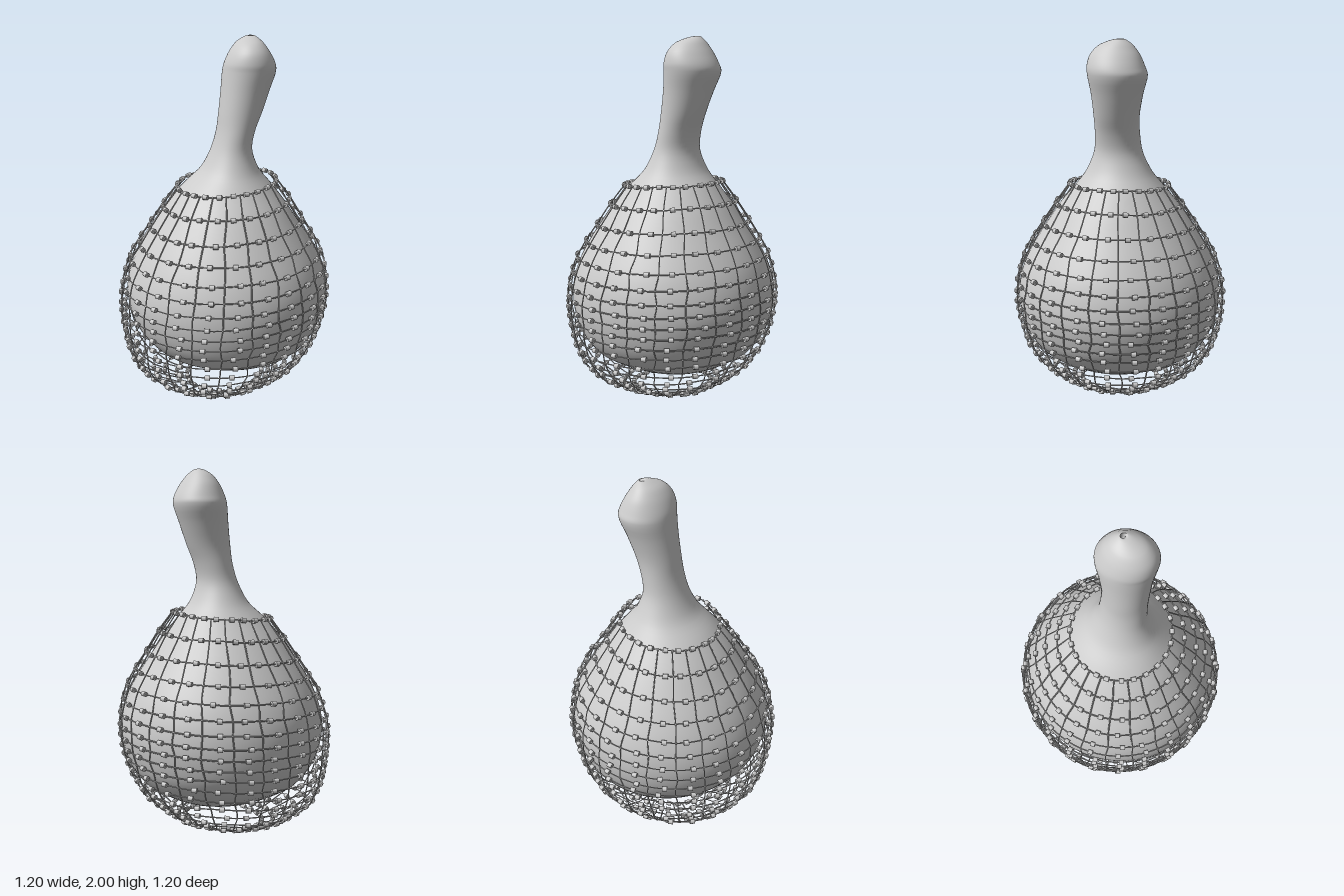
import * as THREE from 'three';
import { mergeGeometries } from 'three/addons/utils/BufferGeometryUtils.js';

const V = (x, y, z) => new THREE.Vector3(x, y, z);
const TAU = Math.PI * 2;

// Small seeded generator, returns -1..1
function makeNoise(seed) {
  return () => {
    seed = (seed * 16807) % 2147483647;
    return (seed / 2147483647) * 2 - 1;
  };
}

// Gourd cross-sections, bottom to top: y, centre x, centre z, radius x, radius z
const SECTIONS = [
  [0.165, 0.03, 0, 0, 0], [0.168, 0.03, 0, 0.13, 0.13], [0.2, 0.03, 0, 0.27, 0.27],
  [0.3, 0.02, 0, 0.445, 0.46], [0.4, 0.015, 0, 0.52, 0.53], [0.5, 0.012, 0, 0.555, 0.56],
  [0.6, 0.012, 0, 0.568, 0.568], [0.7, 0.012, 0, 0.553, 0.556], [0.8, 0.012, 0, 0.517, 0.52],
  [0.9, 0.01, 0, 0.462, 0.465], [1.0, 0.01, 0, 0.395, 0.402], [1.1, 0.012, 0, 0.327, 0.332],
  [1.2, 0.018, -0.003, 0.245, 0.25], [1.29, 0.03, -0.004, 0.16, 0.182], [1.4, 0.04, -0.003, 0.112, 0.133],
  [1.5, 0.063, -0.004, 0.105, 0.122], [1.6, 0.09, -0.007, 0.118, 0.122], [1.72, 0.12, -0.018, 0.132, 0.137],
  [1.82, 0.143, -0.026, 0.143, 0.157], [1.86, 0.143, -0.018, 0.135, 0.152], [1.92, 0.14, -0.013, 0.105, 0.13],
  [1.97, 0.142, -0.02, 0.066, 0.085], [1.998, 0.155, -0.045, 0.018, 0.02], [1.99, 0.16, -0.053, 0.012, 0.012],
  [1.95, 0.16, -0.053, 0.01, 0.01], [1.945, 0.16, -0.053, 0, 0],
];

// Hollow-looking gourd skin lofted through the elliptical sections
function gourdGeometry(rings = 100, sides = 56) {
  const centre = new THREE.CatmullRomCurve3(SECTIONS.map(s => V(s[1], s[0], s[2])));
  const radius = new THREE.CatmullRomCurve3(SECTIONS.map(s => V(s[3], s[0], s[4])));
  const pos = [], index = [];
  for (let i = 0; i <= rings; i++) {
    const c = centre.getPoint(i / rings), r = radius.getPoint(i / rings);
    for (let j = 0; j < sides; j++) {
      const a = (j / sides) * TAU;
      pos.push(c.x + Math.max(r.x, 0) * Math.cos(a), c.y, c.z + Math.max(r.z, 0) * Math.sin(a));
    }
  }
  for (let i = 0; i < rings; i++) {
    for (let j = 0; j < sides; j++) {
      const a = i * sides + j, b = i * sides + ((j + 1) % sides);
      index.push(a, a + sides, b, b, a + sides, b + sides);
    }
  }
  const g = new THREE.BufferGeometry();
  g.setAttribute('position', new THREE.Float32BufferAttribute(pos, 3));
  g.setIndex(index);
  g.computeVertexNormals();
  return g;
}

// Net rows, top to bottom: radius, y, centre x
const ROWS = [
  [0.272, 1.215, 0.012], [0.35, 1.11, 0.01], [0.423, 1.0, 0.008], [0.485, 0.905, 0.006],
  [0.534, 0.82, 0.004], [0.562, 0.742, 0.002], [0.58, 0.67, 0], [0.588, 0.605, -0.002],
  [0.588, 0.545, -0.004], [0.584, 0.488, -0.007], [0.575, 0.43, -0.011], [0.562, 0.372, -0.016],
  [0.545, 0.315, -0.022], [0.52, 0.258, -0.028], [0.485, 0.203, -0.034], [0.44, 0.152, -0.036],
  [0.385, 0.11, -0.033], [0.325, 0.075, -0.025], [0.27, 0.05, -0.012], [0.22, 0.038, 0],
];
const COLUMNS = 24;

export function createModel() {
  const model = new THREE.Group();
  const noise = makeNoise(4711);
  const material = new THREE.MeshStandardMaterial({ color: 0xcccccc });
  const add = (name, geometry) => {
    const mesh = new THREE.Mesh(geometry, material);
    mesh.name = name;
    model.add(mesh);
  };

  add('gourd', gourdGeometry());

  // Knot positions: slightly tilted rows, looser towards the bottom
  const knots = ROWS.map(([r, y, cx], i) => {
    const loose = i > 11 ? 0.007 : 0.003;
    return Array.from({ length: COLUMNS }, (_, j) => {
      const a = (j / COLUMNS) * TAU + noise() * 0.015;
      const rr = r + Math.abs(noise()) * loose;
      return V(cx + rr * Math.cos(a), y + 0.02 * Math.cos(a) + noise() * loose, rr * Math.sin(a));
    });
  });

  const strings = [], cords = [], beads = [], knotBalls = [];
  const xAxis = V(1, 0, 0);

  // Horizontal strings, each with a bead halfway between two knots
  for (const row of knots) {
    const curve = new THREE.CatmullRomCurve3(row, true);
    strings.push(new THREE.TubeGeometry(curve, COLUMNS * 3, 0.0038, 4, true));
    for (let j = 0; j < COLUMNS; j++) {
      const t = (j + 0.5 + noise() * 0.12) / COLUMNS;
      const bead = new THREE.CylinderGeometry(0.0135, 0.0135, 0.027, 8).rotateZ(Math.PI / 2);
      const q = new THREE.Quaternion().setFromUnitVectors(xAxis, curve.getTangent(t));
      bead.applyQuaternion(q);
      const p = curve.getPoint(t);
      bead.translate(p.x, p.y, p.z);
      beads.push(bead);
    }
    for (const p of row) knotBalls.push(new THREE.OctahedronGeometry(0.0075).translate(p.x, p.y, p.z));
  }

  // Vertical cords running through the knots
  for (let j = 0; j < COLUMNS; j++) {
    const curve = new THREE.CatmullRomCurve3(knots.map(row => row[j]));
    cords.push(new THREE.TubeGeometry(curve, ROWS.length * 3, 0.0038, 4));
  }

  add('netRows', mergeGeometries(strings));
  add('netCords', mergeGeometries(cords));
  add('netKnots', mergeGeometries(knotBalls));
  add('beads', mergeGeometries(beads));
  return model;
}
